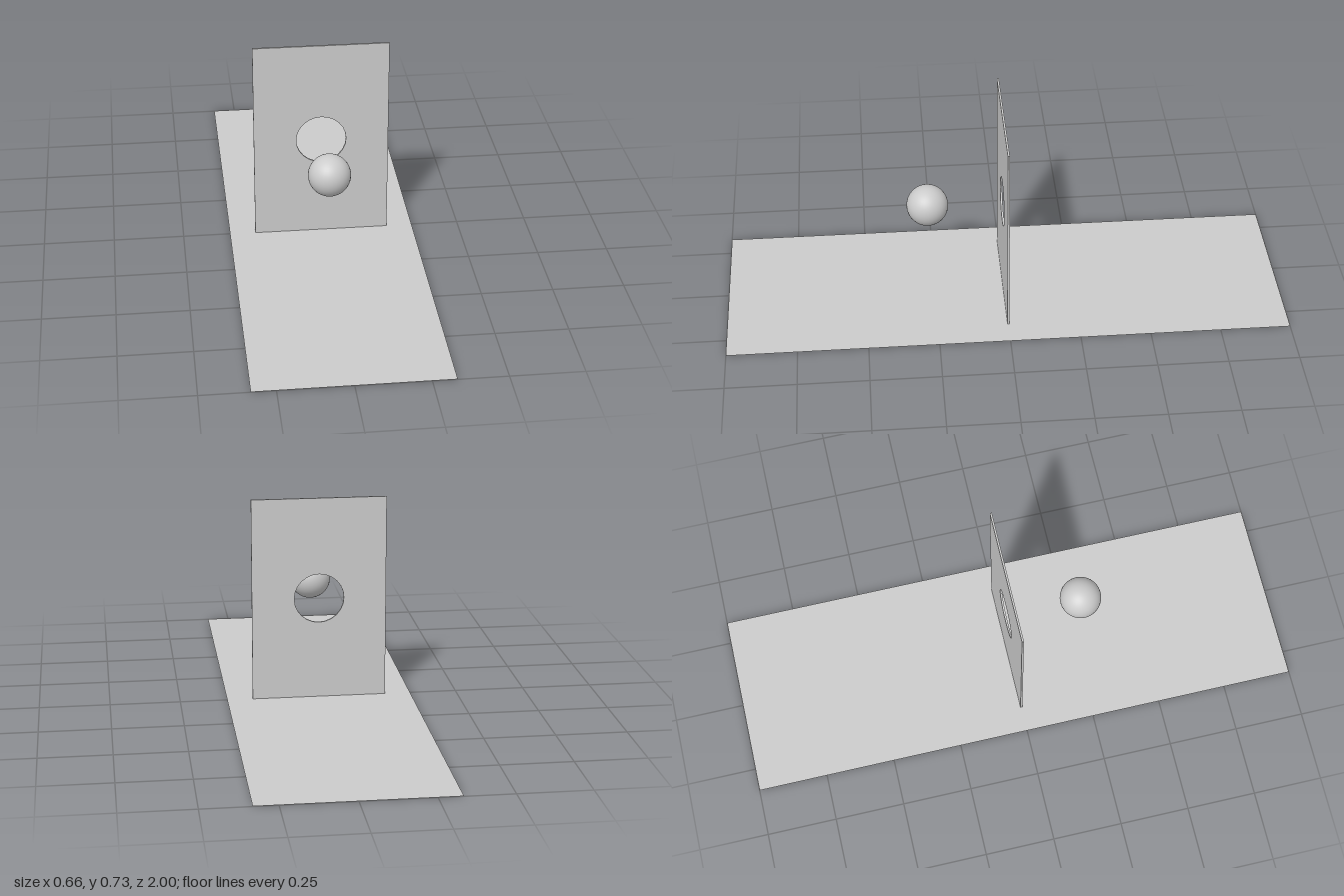
import * as THREE from 'three';

export function createModel() {
  const group = new THREE.Group();
  const add = (name, geometry, side = THREE.FrontSide) => {
    const mesh = new THREE.Mesh(geometry, new THREE.MeshStandardMaterial({ color: 0xcccccc, side }));
    mesh.name = name;
    group.add(mesh);
    return mesh;
  };

  // Flat ground sheet, just above the foot of the panel
  const floor = add('floor', new THREE.PlaneGeometry(0.664, 2).rotateX(-Math.PI / 2), THREE.DoubleSide);
  floor.position.y = 0.001;

  // Thin upright panel with a round hole in its middle
  const width = 0.48, height = 0.734, depth = 0.007, middle = 0.369;
  const outline = new THREE.Shape();
  outline.moveTo(-width / 2, 0);
  outline.lineTo(width / 2, 0);
  outline.lineTo(width / 2, height);
  outline.lineTo(-width / 2, height);
  outline.closePath();
  const hole = new THREE.Path();
  hole.absarc(0, middle, 0.089, 0, Math.PI * 2, true);
  outline.holes.push(hole);
  const panel = add('panel', new THREE.ExtrudeGeometry(outline, { depth, bevelEnabled: false, curveSegments: 12 }));
  panel.position.z = -depth / 2;

  // Ball floating in front of the hole
  const ball = add('ball', new THREE.SphereGeometry(0.074, 32, 24));
  ball.position.set(0, middle, 0.27);

  return group;
}
